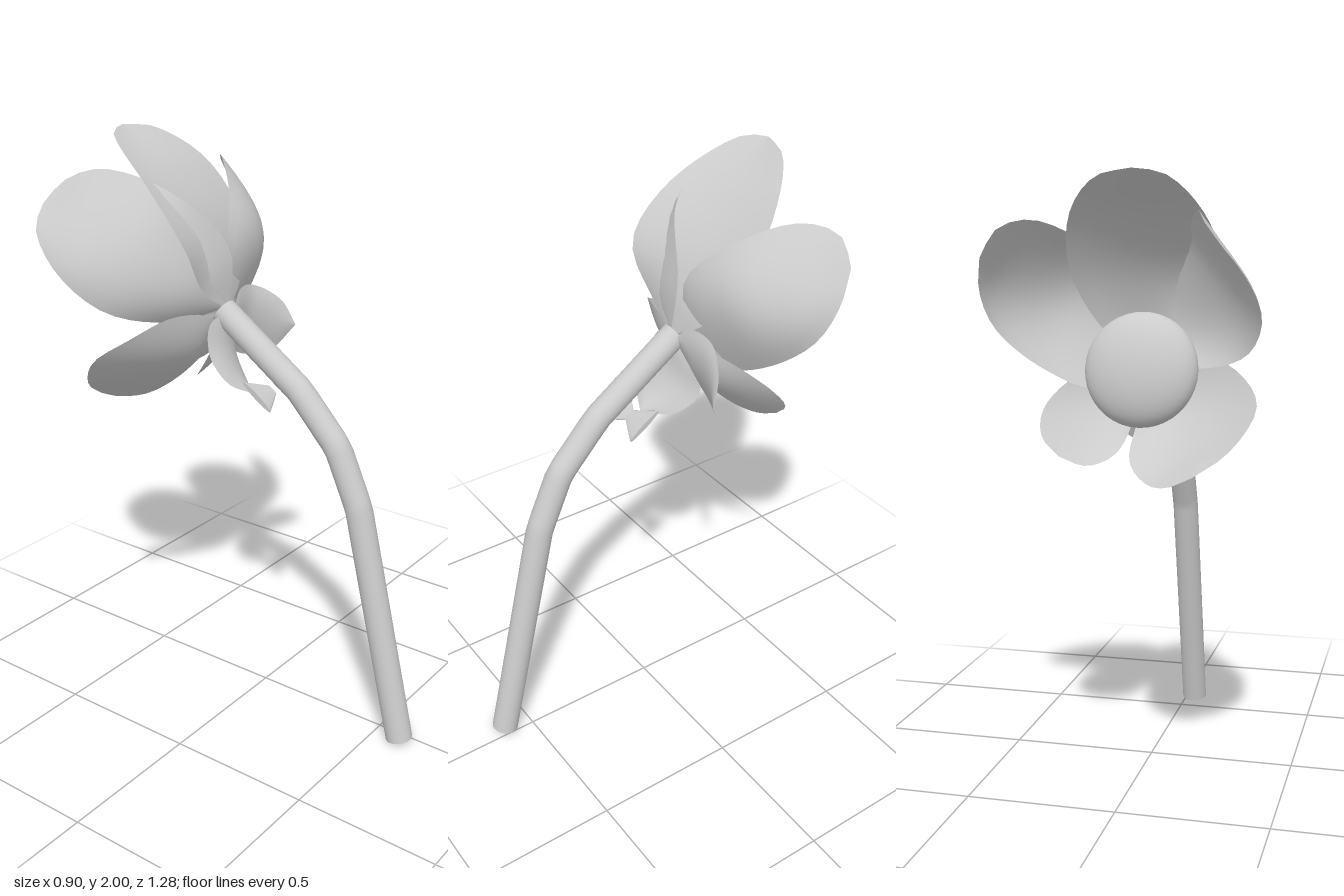
import * as THREE from 'three';

const material = new THREE.MeshStandardMaterial({ color: 0xcccccc });
const thin = new THREE.MeshStandardMaterial({ color: 0xcccccc, side: THREE.DoubleSide });
const vec = (p) => new THREE.Vector3(...p);

function addMesh(group, name, geometry, mat = material) {
  const mesh = new THREE.Mesh(geometry, mat);
  mesh.name = name;
  group.add(mesh);
  return mesh;
}

// Cupped petal: two edge rails and a middle rail run from base to tip,
// and a parabola joins them at each step.
function petalGeometry({ base, tip, edgeA, mid, edgeB }, rows = 18, cols = 10) {
  const [a, m, b] = [edgeA, mid, edgeB].map(
    (points) => new THREE.CatmullRomCurve3([base, ...points, tip].map(vec)));
  const positions = [], index = [];
  for (let i = 0; i <= rows; i++) {
    const t = i / rows;
    const pa = a.getPointAt(t), pm = m.getPointAt(t), pb = b.getPointAt(t);
    for (let j = 0; j <= cols; j++) {
      const v = j / cols;
      const p = new THREE.Vector3()
        .addScaledVector(pa, (1 - v) * (1 - 2 * v))
        .addScaledVector(pm, 4 * v * (1 - v))
        .addScaledVector(pb, v * (2 * v - 1));
      positions.push(p.x, p.y, p.z);
      if (i < rows && j < cols) {
        const k = i * (cols + 1) + j, n = k + cols + 1;
        index.push(k, k + 1, n, k + 1, n + 1, n);
      }
    }
  }
  const geometry = new THREE.BufferGeometry();
  geometry.setAttribute('position', new THREE.Float32BufferAttribute(positions, 3));
  geometry.setIndex(index);
  geometry.computeVertexNormals();
  return geometry;
}

const petals = {
  topPetal: {
    base: [-0.03, 1.42, -0.13], tip: [-0.07, 2.0, -0.54],
    edgeA: [[-0.15, 1.5, -0.14], [-0.255, 1.67, -0.13], [-0.255, 1.84, -0.27], [-0.16, 1.985, -0.5]],
    mid: [[-0.04, 1.56, -0.155], [-0.03, 1.71, -0.225], [-0.06, 1.87, -0.36]],
    edgeB: [[0.1, 1.5, -0.18], [0.2, 1.69, -0.26], [0.17, 1.87, -0.38], [0.05, 1.98, -0.5]],
  },
  rightUpperPetal: {
    base: [-0.03, 1.43, -0.13], tip: [-0.36, 1.77, -0.64],
    edgeA: [[-0.2, 1.4, -0.23], [-0.38, 1.45, -0.36], [-0.45, 1.57, -0.5], [-0.415, 1.7, -0.625]],
    mid: [[-0.2, 1.53, -0.17], [-0.33, 1.62, -0.29], [-0.39, 1.7, -0.48]],
    edgeB: [[-0.01, 1.62, -0.14], [-0.17, 1.82, -0.25], [-0.25, 1.885, -0.47], [-0.3, 1.84, -0.6]],
  },
  leftUpperPetal: {
    base: [0.01, 1.41, -0.18], tip: [0.425, 1.745, -0.475],
    edgeA: [[0, 1.62, -0.16], [0.13, 1.775, -0.25], [0.28, 1.86, -0.4], [0.37, 1.83, -0.475]],
    mid: [[0.14, 1.53, -0.175], [0.26, 1.61, -0.205], [0.38, 1.69, -0.34]],
    edgeB: [[0.12, 1.33, -0.24], [0.28, 1.39, -0.29], [0.42, 1.52, -0.36], [0.45, 1.64, -0.42]],
  },
  rightLowerPetal: {
    base: [-0.04, 1.4, -0.17], tip: [-0.25, 1.1, -0.53],
    edgeA: [[-0.25, 1.43, -0.2], [-0.37, 1.37, -0.28], [-0.42, 1.29, -0.39], [-0.35, 1.17, -0.49]],
    mid: [[-0.14, 1.28, -0.21], [-0.23, 1.18, -0.36]],
    edgeB: [[-0.02, 1.25, -0.25], [-0.02, 1.12, -0.38], [-0.09, 1.065, -0.46], [-0.17, 1.065, -0.52]],
  },
  leftLowerPetal: {
    base: [0, 1.39, -0.18], tip: [0.2, 1.13, -0.41],
    edgeA: [[0.17, 1.38, -0.22], [0.27, 1.28, -0.33], [0.26, 1.19, -0.4]],
    mid: [[0.09, 1.28, -0.21], [0.15, 1.19, -0.31]],
    edgeB: [[0, 1.24, -0.24], [0.04, 1.13, -0.33], [0.12, 1.1, -0.39]],
  },
  leftSmallPetal: {
    base: [0, 1.42, -0.13], tip: [0.28, 1.3, -0.075],
    edgeA: [[0.05, 1.47, -0.145], [0.15, 1.46, -0.16], [0.25, 1.39, -0.115]],
    mid: [[0.1, 1.37, -0.145], [0.2, 1.33, -0.12]],
    edgeB: [[0.02, 1.3, -0.17], [0.1, 1.22, -0.19], [0.22, 1.21, -0.14]],
  },
  rightSmallPetal: {
    base: [-0.03, 1.41, -0.13], tip: [-0.05, 1.15, -0.02],
    edgeA: [[-0.12, 1.39, -0.14], [-0.15, 1.29, -0.12], [-0.13, 1.2, -0.06]],
    mid: [[-0.04, 1.3, -0.12], [-0.04, 1.21, -0.08]],
    edgeB: [[0.05, 1.32, -0.17], [0.07, 1.22, -0.18], [0.03, 1.15, -0.1]],
  },
};

export function createModel() {
  const flower = new THREE.Group();
  flower.name = 'flower';

  // Open stem in straight lengths that bend back to the bloom
  const joints = [[0.597, 0.012], [0.405, 0.835], [0.318, 1.03], [0.165, 1.195], [-0.15, 1.415]]
    .map(([z, y]) => new THREE.Vector3(-0.034, y, z));
  const stemPath = new THREE.CurvePath();
  for (let i = 1; i < joints.length; i++) {
    stemPath.add(new THREE.LineCurve3(joints[i - 1], joints[i]));
  }
  addMesh(flower, 'stem', new THREE.TubeGeometry(stemPath, 40, 0.046, 20), thin);

  // Petals
  for (const [name, shape] of Object.entries(petals)) {
    addMesh(flower, name, petalGeometry(shape), thin);
  }

  // Domed flower centre
  const centre = addMesh(flower, 'flowerCentre', new THREE.SphereGeometry(0.185, 32, 20));
  centre.scale.z = 0.46;
  centre.position.set(-0.03, 1.395, -0.262);
  centre.rotation.x = 0.2;

  // Pair of flat flared leaflets below the stem, set slightly out of line
  const leaflets = new THREE.Group();
  leaflets.name = 'leaflets';
  leaflets.position.set(-0.015, 1.175, 0.047);
  leaflets.rotation.x = 0.62;
  flower.add(leaflets);
  for (const side of [-1, 1]) {
    const leaf = addMesh(leaflets, side > 0 ? 'leftLeaflet' : 'rightLeaflet',
      new THREE.CylinderGeometry(0.07, 0.02, 0.09, 20));
    leaf.rotation.z = -side * Math.PI / 2;
    leaf.position.set(side * 0.05, side * 0.008, 0);
    leaf.scale.x = 0.14;
  }
  return flower;
}
